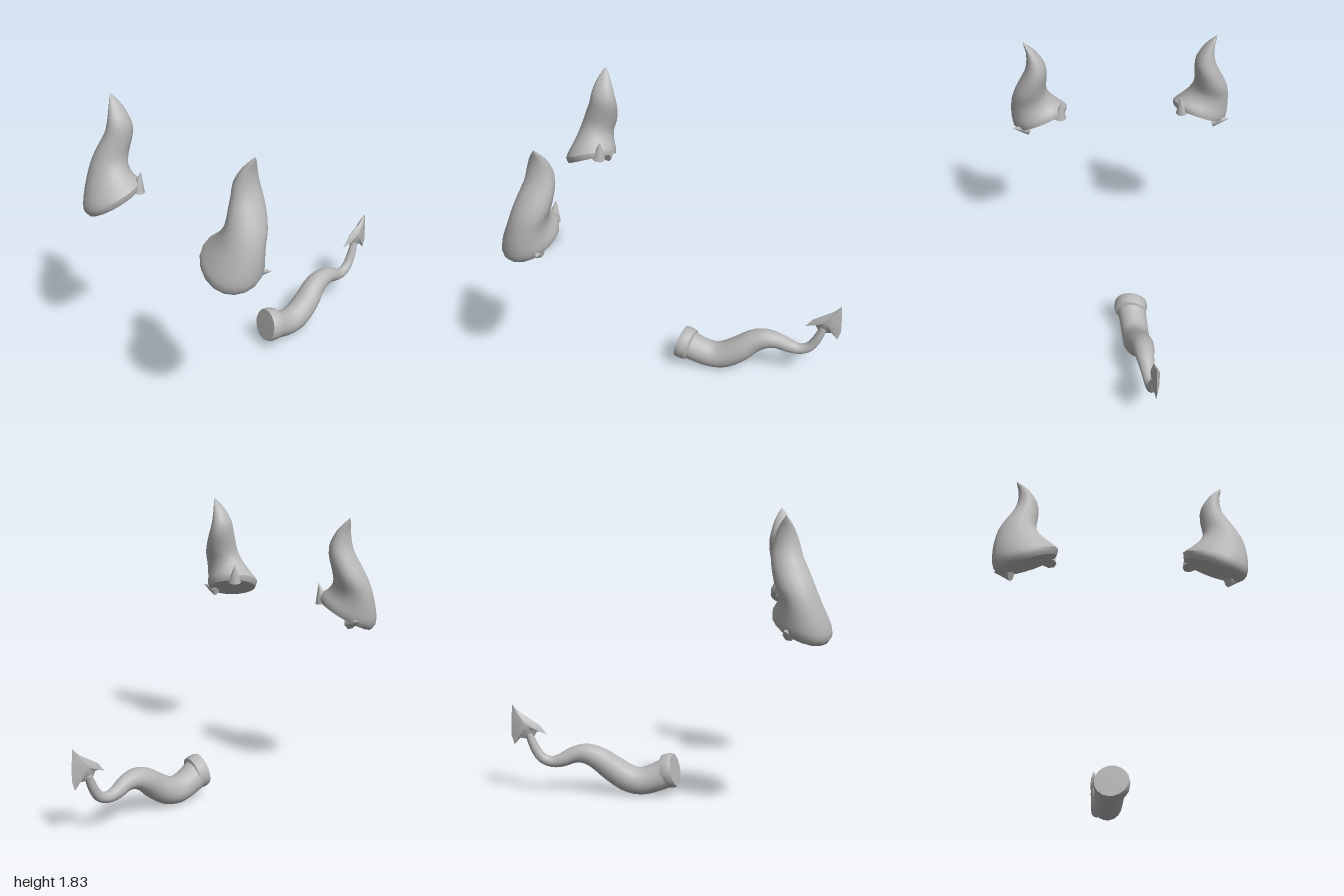
import * as THREE from 'three';
import { toCreasedNormals } from 'three/addons/utils/BufferGeometryUtils.js';

const V = (x, y, z) => new THREE.Vector3(x, y, z);
const SIDES = 18;

// Smoothly resample rows of numbers (uniform Catmull-Rom on every column)
function resample(rows, steps) {
  const out = [], n = rows.length;
  const row = i => rows[Math.min(n - 1, Math.max(0, i))];
  for (let k = 0; k <= (n - 1) * steps; k++) {
    const i = Math.min(n - 2, Math.floor(k / steps)), t = k / steps - i;
    const [a, b, c, d] = [row(i - 1), row(i), row(i + 1), row(i + 2)];
    out.push(b.map((p, j) => p + 0.5 * t * (c[j] - a[j]
      + t * (2 * a[j] - 5 * p + 4 * c[j] - d[j] + t * (3 * (p - c[j]) + d[j] - a[j])))));
  }
  return out;
}

function finish(pts, index, crease) {
  const g = new THREE.BufferGeometry().setFromPoints(pts);
  g.setIndex(index);
  return toCreasedNormals(g, crease);
}

// Skin closed rings, with a cap point at each end
function loft(rings, start, end) {
  const n = rings[0].length, pts = [...rings.flat(), start, end], index = [];
  const s = pts.length - 2, e = s + 1, last = (rings.length - 1) * n;
  for (let j = 0; j < n; j++) {
    const k = (j + 1) % n;
    for (let i = 0; i < rings.length - 1; i++) {
      const a = i * n + j, b = i * n + k;
      index.push(a, b, b + n, a, b + n, a + n);
    }
    index.push(s, k, j, e, last + j, last + k);
  }
  return finish(pts, index, 0.75);
}

// Mirror a non-indexed geometry in x, keeping faces outward
function mirrorX(geometry) {
  const g = geometry.clone();
  for (const name of ['position', 'normal']) {
    const at = g.attributes[name];
    for (let i = 0; i < at.count; i += 3) {
      const c = [0, 2, 1].map(k => V(0, 0, 0).fromBufferAttribute(at, i + k));
      c.forEach((p, k) => at.setXYZ(i + k, -p.x, p.y, p.z));
    }
  }
  return g;
}

// Curved horn: centre x, y, z, radius x, radius z, slope along x, slope along z
function hornGeometry() {
  const rows = resample([
    [0.535, 1.200, 0.825, 0.165, 0.163, -0.40, -0.35],
    [0.545, 1.235, 0.835, 0.182, 0.172, -0.40, -0.33],
    [0.575, 1.290, 0.835, 0.163, 0.150, -0.35, -0.30],
    [0.600, 1.370, 0.815, 0.135, 0.125, -0.25, -0.20],
    [0.605, 1.450, 0.785, 0.113, 0.118, -0.15, -0.10],
    [0.585, 1.530, 0.760, 0.095, 0.108, -0.08, -0.05],
    [0.560, 1.610, 0.738, 0.075, 0.092, 0, 0],
    [0.553, 1.680, 0.734, 0.060, 0.077, 0, 0],
    [0.575, 1.760, 0.732, 0.034, 0.050, 0, 0],
    [0.605, 1.810, 0.730, 0.015, 0.022, 0, 0],
  ], 2);
  const rings = rows.map(([x, y, z, rx, rz, sx, sz]) =>
    Array.from({ length: SIDES }, (_, j) => {
      const a = j / SIDES * Math.PI * 2, dx = rx * Math.cos(a), dz = -rz * Math.sin(a);
      return V(x + dx, y + sx * dx + sz * dz, z + dz);
    }));
  return loft(rings, V(0.535, 1.2, 0.825), V(0.622, 1.84, 0.73));
}

// Small pointed spike from a base point to a tip
function spikeGeometry(base, tip, radius) {
  const dir = tip.clone().sub(base), h = dir.length();
  const g = new THREE.ConeGeometry(radius, h, 8).translate(0, h / 2, 0);
  g.applyQuaternion(new THREE.Quaternion().setFromUnitVectors(V(0, 1, 0), dir.normalize()));
  g.translate(base.x, base.y, base.z);
  return toCreasedNormals(g, 0.9);
}

// Tapering wavy tail: centre x, y, z and radius
function tailGeometry() {
  const rows = resample([
    [-0.010, 0.165, 0.030, 0.098], [-0.015, 0.122, -0.060, 0.092],
    [-0.020, 0.095, -0.160, 0.090], [-0.020, 0.115, -0.250, 0.090],
    [-0.025, 0.180, -0.350, 0.086], [-0.040, 0.242, -0.430, 0.077],
    [-0.045, 0.275, -0.510, 0.067], [-0.050, 0.270, -0.590, 0.054],
    [-0.060, 0.235, -0.670, 0.045], [-0.062, 0.222, -0.740, 0.036],
    [-0.066, 0.250, -0.805, 0.033], [-0.070, 0.320, -0.850, 0.030],
    [-0.075, 0.410, -0.885, 0.024],
  ], 3);
  const c = rows.map(r => V(r[0], r[1], r[2]));
  const rings = c.map((p, i) => {
    const t = c[Math.min(i + 1, c.length - 1)].clone().sub(c[Math.max(i - 1, 0)]).normalize();
    const u = V(1, 0, 0).addScaledVector(t, -t.x).normalize();
    const v = t.clone().cross(u);
    return Array.from({ length: SIDES }, (_, j) => {
      const a = j / SIDES * Math.PI * 2, r = rows[i][3];
      return p.clone().addScaledVector(u, r * Math.cos(a)).addScaledVector(v, r * Math.sin(a));
    });
  });
  return loft(rings, c[0], c[c.length - 1]);
}

// Rounded collar closing the thick end of the tail
function collarGeometry() {
  const profile = [[0.08, -0.085], [0.106, -0.075], [0.112, -0.045], [0.112, -0.015], [0.106, 0], [0, 0.002]];
  const g = new THREE.LatheGeometry(profile.map(p => new THREE.Vector2(...p)), SIDES);
  g.applyQuaternion(new THREE.Quaternion().setFromUnitVectors(V(0, 1, 0), V(-0.18, 0.2, 0.96).normalize()));
  return toCreasedNormals(g.translate(-0.012, 0.173, 0.062), 0.75);
}

// Barbed spade at the tail's end: outline in z, y with a raised middle on both sides
function spadeGeometry() {
  const outline = [
    [-0.99, 0.60], [-0.94, 0.55], [-0.87, 0.505], [-0.81, 0.465], [-0.765, 0.405], [-0.80, 0.42],
    [-0.83, 0.425], [-0.85, 0.39], [-0.90, 0.375], [-0.94, 0.38], [-0.98, 0.335], [-1.0, 0.40], [-0.997, 0.5],
  ];
  const n = outline.length, x = -0.075, cz = -0.90, cy = 0.47, pts = [], index = [];
  for (const [side, mix] of [[0, 1], [1, 0.5], [-1, 0.5]])
    for (const [z, y] of outline)
      pts.push(V(x + side * 0.02, cy + (y - cy) * mix, cz + (z - cz) * mix));
  pts.push(V(x + 0.028, cy, cz), V(x - 0.028, cy, cz));
  for (let j = 0; j < n; j++) {
    const k = (j + 1) % n, A = n, B = 2 * n, C = 3 * n;
    index.push(j, k, A + k, j, A + k, A + j, C, A + j, A + k);
    index.push(j, B + k, k, j, B + j, B + k, C + 1, B + k, B + j);
  }
  return finish(pts, index, 0.9);
}

export function createModel() {
  const model = new THREE.Group();
  const grey = new THREE.MeshStandardMaterial({ color: 0xb8b8b8 });
  grey.name = 'grey';
  const add = (parent, name, geometry) => {
    const mesh = new THREE.Mesh(geometry, grey);
    mesh.name = name;
    parent.add(mesh);
  };

  // Pair of horns with two spikes on each rim
  const hornParts = {
    horn: hornGeometry(),
    innerSpike: spikeGeometry(V(0.415, 1.27, 0.735), V(0.395, 1.4, 0.715), 0.045),
    outerSpike: spikeGeometry(V(0.63, 1.175, 0.76), V(0.735, 1.205, 0.725), 0.042),
  };
  for (const side of ['left', 'right']) {
    const group = new THREE.Group();
    group.name = side + 'Horn';
    for (const [name, g] of Object.entries(hornParts)) add(group, name, side === 'left' ? g : mirrorX(g));
    model.add(group);
  }

  // Tail
  const tail = new THREE.Group();
  tail.name = 'tail';
  add(tail, 'tailBody', tailGeometry());
  add(tail, 'tailCollar', collarGeometry());
  add(tail, 'tailSpade', spadeGeometry());
  model.add(tail);
  return model;
}
